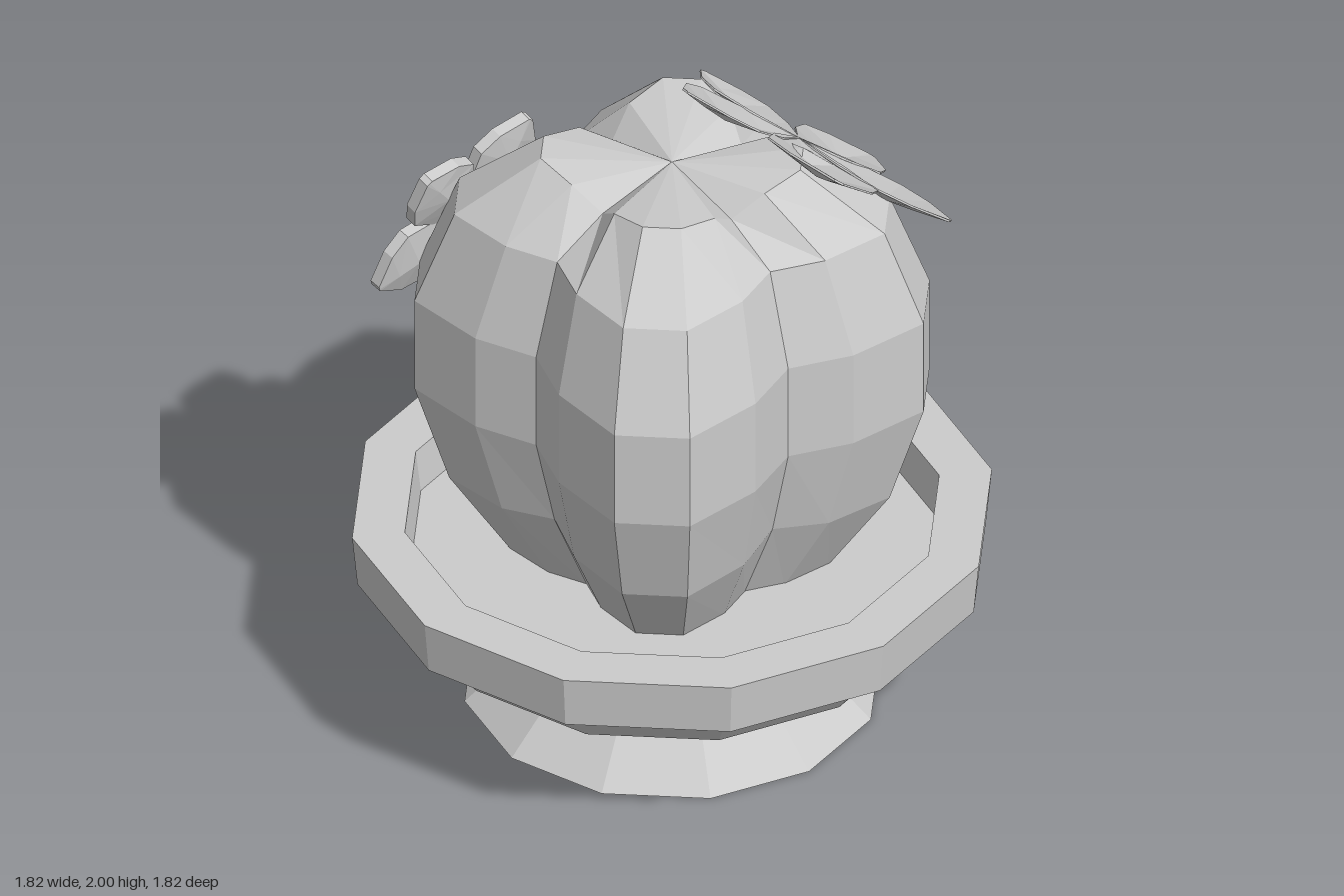
import * as THREE from 'three';

const material = new THREE.MeshStandardMaterial({ color: 0xcccccc, flatShading: true });
const petalMaterial = new THREE.MeshStandardMaterial({ color: 0xcccccc, flatShading: true, side: THREE.DoubleSide });

// Skin a list of equal-length rings of Vector3 with faceted quads
function loft(rings) {
  const out = [];
  for (let i = 0; i < rings.length - 1; i++) {
    const lo = rings[i], hi = rings[i + 1], n = lo.length;
    for (let j = 0; j < n; j++) {
      const k = (j + 1) % n;
      for (const p of [lo[j], hi[j], hi[k], lo[j], hi[k], lo[k]]) out.push(p.x, p.y, p.z);
    }
  }
  const g = new THREE.BufferGeometry();
  g.setAttribute('position', new THREE.Float32BufferAttribute(out, 3));
  g.computeVertexNormals();
  return g;
}

function named(name, geometry, mat = material) {
  const mesh = new THREE.Mesh(geometry, mat);
  mesh.name = name;
  return mesh;
}

// Twelve-sided turned part from [radius, height] pairs
function turned(name, profile) {
  const pts = profile.map(([r, y]) => new THREE.Vector2(r, y));
  return named(name, new THREE.LatheGeometry(pts, 12));
}

// Four-lobed ribbed body: one quarter of the outline, turned four times
function cactusBody() {
  const quarter = [[0.5, 0], [0.57, 0.18], [0.58, 0.43], [0.43, 0.58], [0.18, 0.57]];
  const dipShare = [1, 0.28, 0, 0, 0.28];
  // height, scale, how far the grooves sink below that height
  const levels = [
    [0.46, 0.62, 0], [0.72, 0.865, -0.025], [1.03, 1, 0], [1.33, 1, 0],
    [1.62, 0.845, 0], [1.80, 0.51, 0.09], [1.77, 0, 0],
  ];
  const rings = levels.map(([y, s, dip]) => {
    const ring = [];
    for (let q = 0; q < 4; q++) {
      quarter.forEach(([x, z], i) => {
        for (let t = 0; t < q; t++) [x, z] = [-z, x];
        ring.push(new THREE.Vector3(x * s, y - dip * dipShare[i], z * s));
      });
    }
    return ring;
  });
  return named('cactusBody', loft(rings));
}

// Petal running from the flower centre to its tip, creased along the middle
function petal(centre, tip, normal, thickness) {
  const axis = tip.clone().sub(centre);
  const length = axis.length();
  const side = normal.clone().cross(axis).normalize();
  const up = axis.clone().cross(side).normalize();
  // position along petal, half width, crease depth
  const sections = [[0, 0.01, 0], [0.3, 0.24, 0.05], [0.6, 0.36, 0.07], [0.8, 0.27, 0.04], [1, 0.03, 0]];
  const rings = sections.map(([f, w, crease]) => {
    const at = (s, h) => centre.clone().addScaledVector(axis, f)
      .addScaledVector(side, s * w * length).addScaledVector(up, h);
    const mid = -crease * length, t = thickness / 2;
    return [at(-1, t), at(0, mid + t), at(1, t), at(1, -t), at(0, mid - t), at(-1, -t)];
  });
  // close the tip
  const end = rings[rings.length - 1];
  rings.push(end.map(() => tip.clone()));
  return named('petal', loft(rings), petalMaterial);
}

function flower(name, centre, normal, tips, thickness) {
  const group = new THREE.Group();
  group.name = name;
  const c = new THREE.Vector3(...centre), n = new THREE.Vector3(...normal).normalize();
  for (const tip of tips) group.add(petal(c, new THREE.Vector3(...tip), n, thickness));
  return group;
}

export function createModel() {
  const model = new THREE.Group();
  model.name = 'pottedCactus';

  // Pot: flared foot, shallow bowl with heavy rim, soil
  model.add(turned('potFoot', [[0, 0], [0.59, 0], [0.44, 0.145]]));
  model.add(turned('potBowl', [[0, 0.145], [0.455, 0.145], [0.72, 0.29], [0.84, 0.44]]));
  model.add(turned('potRim', [[0.84, 0.44], [0.895, 0.44], [0.91, 0.6], [0.76, 0.6], [0.745, 0.47]]));
  model.add(turned('soil', [[0.745, 0.47], [0, 0.47]]));

  model.add(cactusBody());

  // Large thin blossom on the crown
  model.add(flower('topFlower', [0.38, 1.73, 0.1], [0.62, 0.78, 0], [
    [0.04, 2.0, 0.01], [0.36, 1.76, -0.29], [0.7, 1.49, 0.04], [0.58, 1.58, 0.52], [0.17, 1.9, 0.52],
  ], 0.006));

  // Thicker blossom on the back
  model.add(flower('backFlower', [-0.26, 1.41, -0.6], [0, 0.25, -0.97], [
    [-0.08, 1.68, -0.53], [-0.47, 1.65, -0.51], [-0.57, 1.28, -0.61], [-0.24, 1.1, -0.67], [0.06, 1.34, -0.65],
  ], 0.035));

  return model;
}
